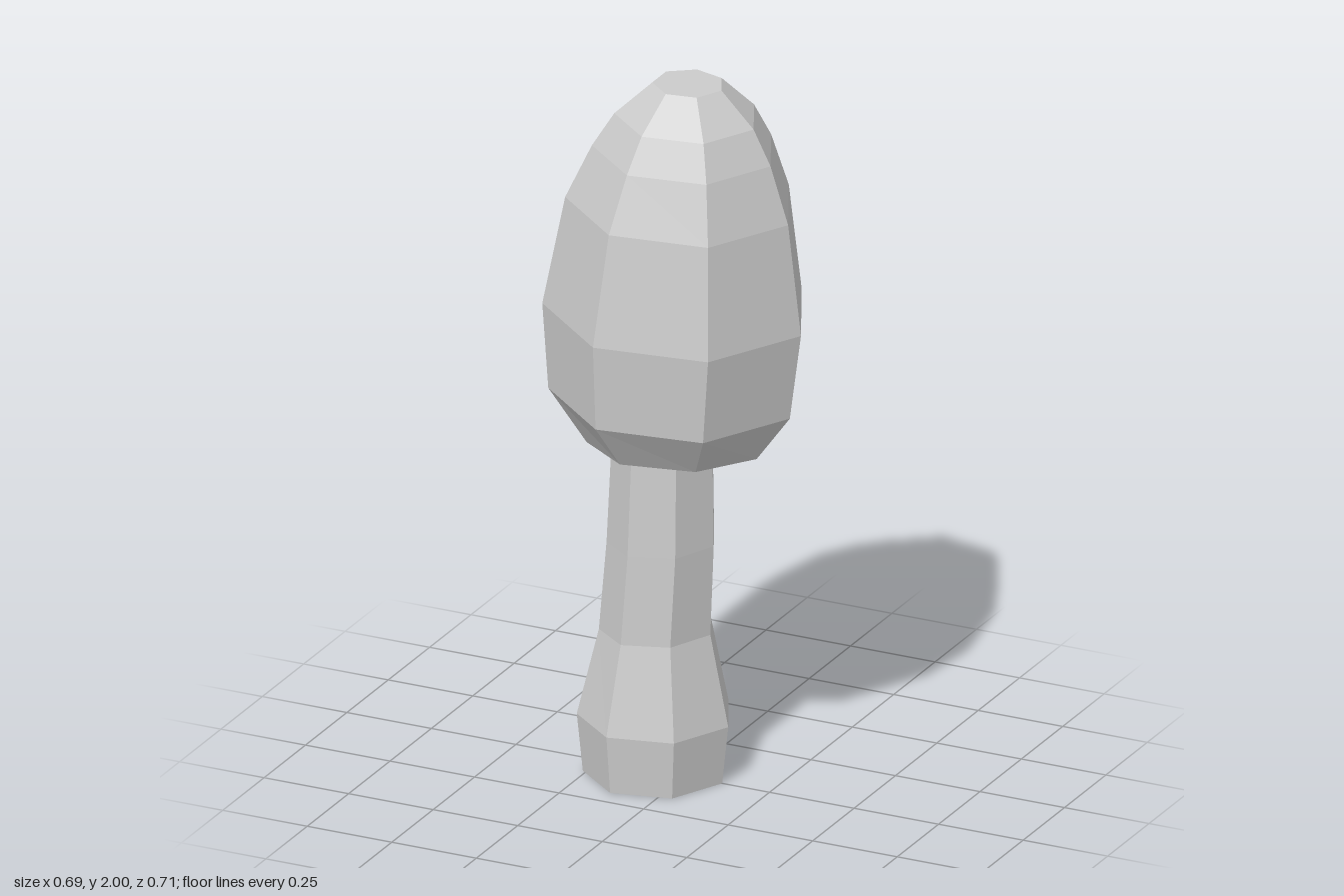
import * as THREE from 'three';

const SIDES = 7;

// Joins seven-sided rings [y, radius, centreX, slopeX, slopeZ] in order; radius 0 closes an end.
function loft(name, rings) {
  const point = ([y, r, cx, sx = 0, sz = 0], i) => {
    const a = (i % SIDES) / SIDES * Math.PI * 2;
    const dx = r * Math.cos(a), dz = r * Math.sin(a);
    return [cx + dx, y + sx * dx + sz * dz, dz];
  };
  const pos = [];
  for (let k = 0; k < rings.length - 1; k++) {
    const low = rings[k], high = rings[k + 1];
    for (let i = 0; i < SIDES; i++) {
      const a = point(low, i), b = point(high, i);
      const c = point(high, i + 1), d = point(low, i + 1);
      if (high[1] > 0) pos.push(...a, ...b, ...c);
      if (low[1] > 0) pos.push(...a, ...(high[1] > 0 ? c : b), ...d);
    }
  }
  const geometry = new THREE.BufferGeometry();
  geometry.setAttribute('position', new THREE.Float32BufferAttribute(pos, 3));
  geometry.computeVertexNormals();
  const mesh = new THREE.Mesh(geometry,
    new THREE.MeshStandardMaterial({ color: 0xcccccc, flatShading: true }));
  mesh.name = name;
  return mesh;
}

export function createModel() {
  const group = new THREE.Group();
  group.name = 'mushroom';

  // Leaning stem with a swollen foot
  group.add(loft('stem', [
    [0, 0, -0.085],
    [0, 0.195, -0.085],
    [0.165, 0.212, -0.084],
    [0.415, 0.156, -0.081, 0.04],
    [0.67, 0.15, -0.065, 0.05],
    [1.02, 0.139, -0.059],
    [1.02, 0, -0.059],
  ]));

  // Tall cap: shallow hollow underneath, tilted lip, then the egg-shaped outside
  group.add(loft('cap', [
    [1.0, 0, -0.05],
    [1.0, 0.15, -0.05, 0, 0.08],
    [0.955, 0.205, -0.028, 0.01, 0.09],
    [0.95, 0.238, -0.026, 0.01, 0.09],
    [1.1, 0.338, -0.028, -0.04],
    [1.345, 0.362, -0.019, -0.04],
    [1.655, 0.312, -0.007, -0.04],
    [1.81, 0.25, 0.003, -0.03],
    [1.905, 0.195, 0.008, -0.03],
    [1.997, 0.097, 0.011, -0.03],
    [1.997, 0, 0.011],
  ]));
  return group;
}
